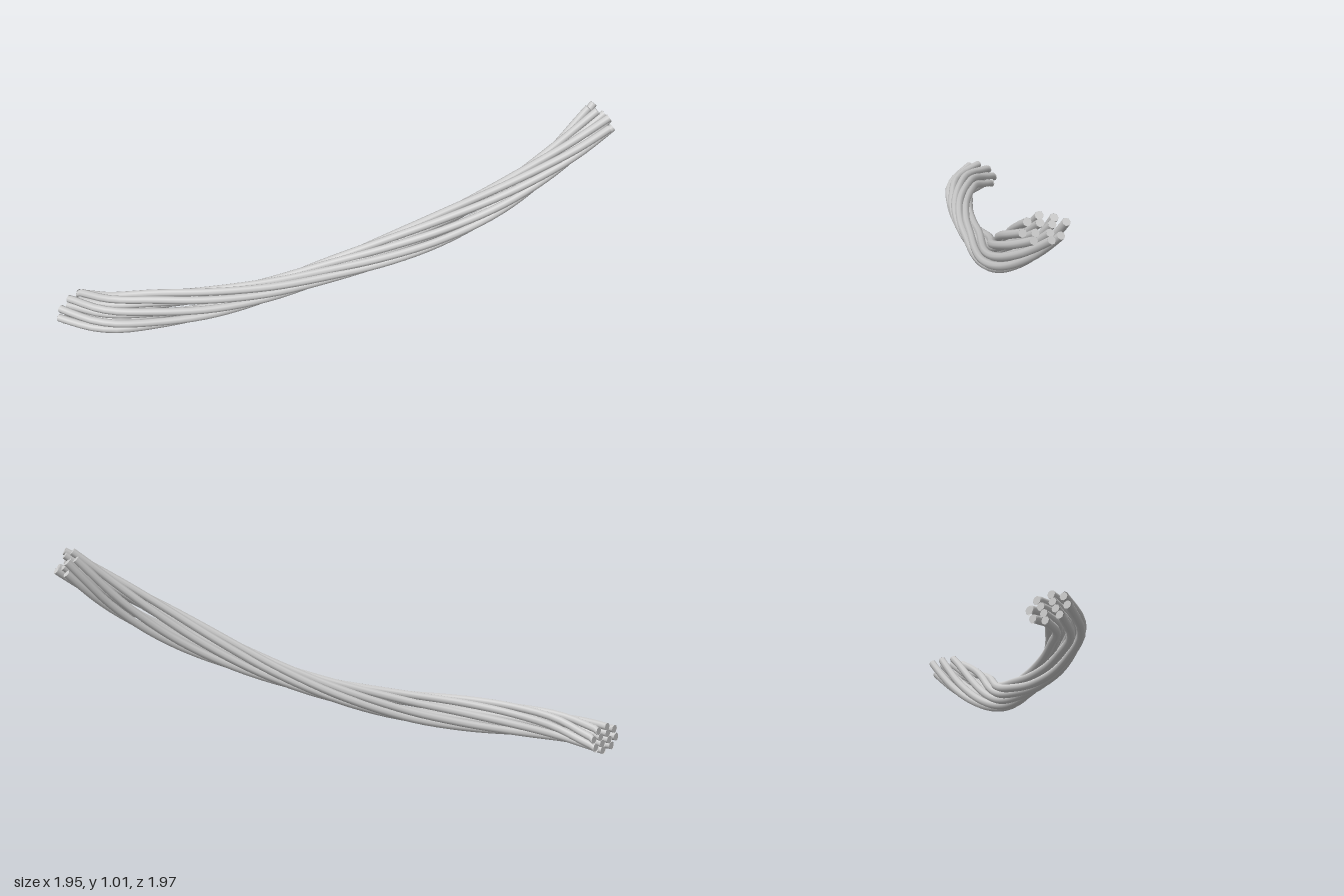
import * as THREE from 'three';

const STRAND_RADIUS = 0.019;
const SIDES = 8;
const STEPS = 48;

// centre line of the whole bundle
const spine = new THREE.CatmullRomCurve3([
  [-0.865, 0.083, -1.02], [-0.82, 0.11, -0.8], [-0.69, 0.14, -0.6], [-0.53, 0.167, -0.4],
  [-0.33, 0.207, -0.2], [-0.11, 0.275, 0], [0.085, 0.36, 0.2], [0.275, 0.47, 0.4],
  [0.485, 0.615, 0.6], [0.71, 0.79, 0.77], [0.915, 0.965, 0.89],
].map((p) => new THREE.Vector3(...p)));

// point on a strand: the flat oval cross-section makes one full turn and tightens mid-way
function strandPoint(t, u, v) {
  const tangent = spine.getTangentAt(t);
  const side = new THREE.Vector3(tangent.z, 0, -tangent.x).normalize();
  const up = new THREE.Vector3().crossVectors(tangent, side).normalize();
  const squeeze = 0.64 + 0.36 * Math.pow(2 * t - 1, 2);
  const a = t * Math.PI * 2;
  const x = (u * Math.cos(a) - v * Math.sin(a)) * squeeze;
  const y = (u * Math.sin(a) + v * Math.cos(a)) * squeeze;
  return spine.getPointAt(t).addScaledVector(side, x).addScaledVector(up, y);
}

function makeStrand(u, v, endT, material) {
  const strand = new THREE.Group();
  const points = [];
  for (let i = 0; i <= 32; i++) points.push(strandPoint((i / 32) * endT, u, v));
  const curve = new THREE.CatmullRomCurve3(points);

  // round strand, trimmed flat at the back
  const geometry = new THREE.TubeGeometry(curve, STEPS, STRAND_RADIUS, SIDES);
  const pos = geometry.attributes.position;
  for (let i = 0; i < pos.count; i++) pos.setZ(i, Math.max(pos.getZ(i), -1));
  const tube = new THREE.Mesh(geometry, material);
  tube.name = 'strandBody';
  strand.add(tube);

  // cut faces at both ends
  const addCap = (name, at, direction) => {
    const cap = new THREE.Mesh(new THREE.CircleGeometry(STRAND_RADIUS, SIDES), material);
    cap.name = name;
    cap.position.copy(at);
    cap.quaternion.setFromUnitVectors(new THREE.Vector3(0, 0, 1), direction);
    strand.add(cap);
  };
  const start = curve.getPointAt(0.008);
  start.z = -1;
  addCap('backCut', start, new THREE.Vector3(0, 0, -1));
  addCap('frontCut', curve.getPointAt(1), curve.getTangentAt(1));
  return strand;
}

export function createModel() {
  const group = new THREE.Group();
  group.name = 'twistedBundle';
  const material = new THREE.MeshStandardMaterial({ color: 0xcccccc, side: THREE.DoubleSide });

  // rings of strands: count, relative size, starting angle
  let n = 0;
  for (const [count, size, phase] of [[8, 1, 0.12], [4, 0.45, 0.5]]) {
    for (let i = 0; i < count; i++) {
      const a = phase + (i / count) * Math.PI * 2;
      const endT = 1 - 0.006 * ((n * 5) % 3);
      const strand = makeStrand(0.096 * size * Math.cos(a), 0.058 * size * Math.sin(a), endT, material);
      strand.name = `strand${++n}`;
      group.add(strand);
    }
  }
  return group;
}
